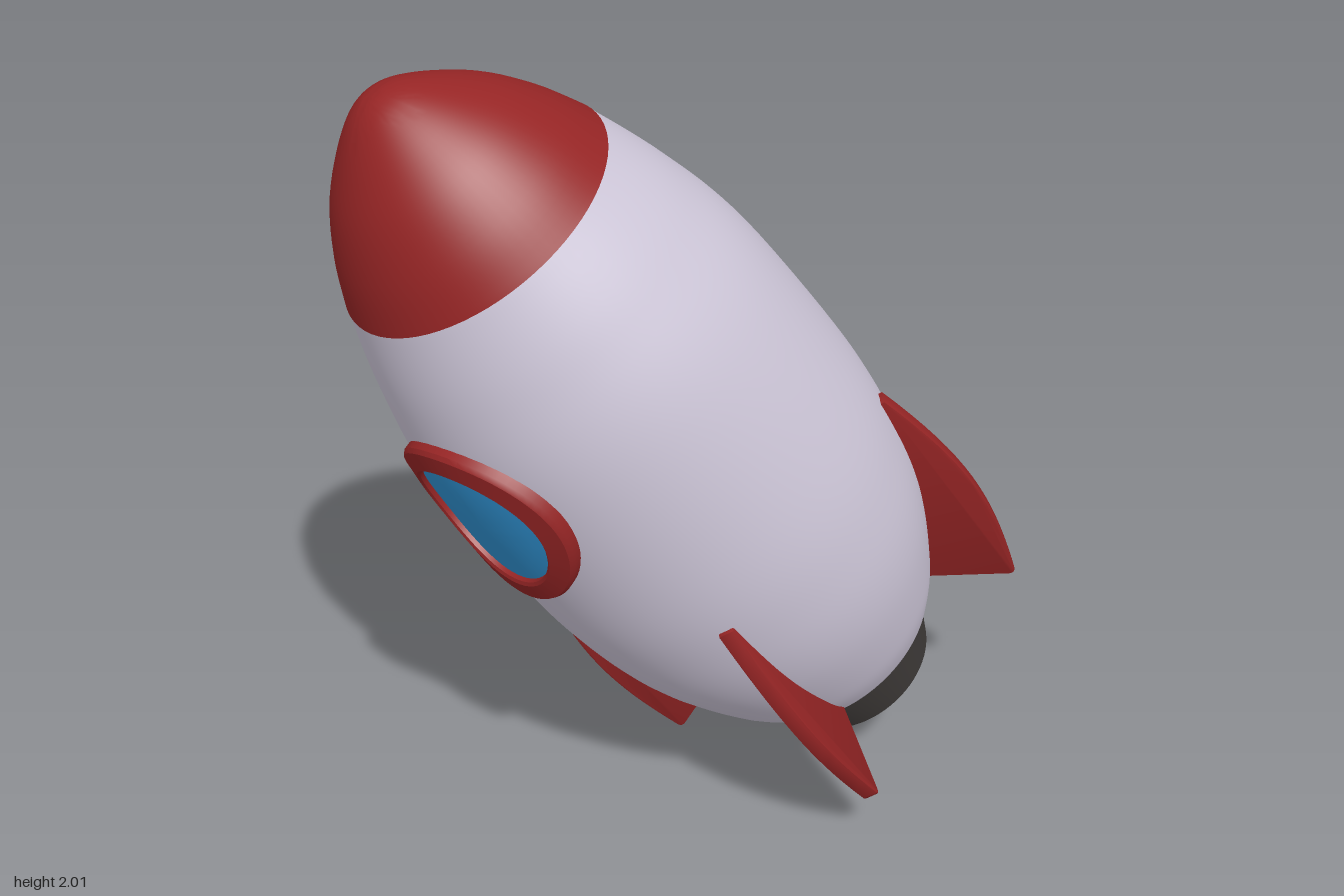
import * as THREE from 'three';
import { toCreasedNormals } from 'three/addons/utils/BufferGeometryUtils.js';

const paint = (name, color) => {
  const m = new THREE.MeshStandardMaterial({ color });
  m.name = name;
  return m;
};

const toPoints = (list) => list.map(([x, y]) => new THREE.Vector2(x, y));
const smooth = (list, n) => new THREE.SplineCurve(toPoints(list)).getPoints(n);

// Hull profile (radius, height), from the tail up to the nose joint at height 0
const hull = smooth([
  [0.303, -1.6], [0.36, -1.5], [0.436, -1.3], [0.475, -1.1], [0.488, -0.85],
  [0.465, -0.45], [0.41, -0.2], [0.343, 0],
], 48);

function hullRadius(y) {
  for (let i = 1; i < hull.length; i++) {
    const a = hull[i - 1], b = hull[i];
    if (y <= b.y) return a.x + (b.x - a.x) * (y - a.y) / (b.y - a.y);
  }
  return hull[hull.length - 1].x;
}

export function createModel() {
  const white = paint('hullWhite', 0xcfc8da);
  const red = paint('trimRed', 0x962525);
  const dark = paint('nozzleDark', 0x403c3a);
  const blue = paint('glassBlue', 0x3092d2);

  const model = new THREE.Group();
  const rocket = new THREE.Group();
  rocket.name = 'rocket';
  model.add(rocket);

  const add = (name, geometry, material) => {
    const mesh = new THREE.Mesh(geometry, material);
    mesh.name = name;
    rocket.add(mesh);
    return mesh;
  };
  const turn = (points, segments = 72) =>
    toCreasedNormals(new THREE.LatheGeometry(points, segments), 0.5);

  // Hull with a narrow lip around the nozzle
  add('hull', turn([new THREE.Vector2(0.25, -1.605), new THREE.Vector2(0.295, -1.605), ...hull]), white);

  // Rounded nose cone
  add('noseCone', turn(smooth([
    [0.345, 0], [0.297, 0.1], [0.232, 0.2], [0.157, 0.28], [0.085, 0.34], [0.035, 0.365], [0, 0.37],
  ], 28)), red);

  // Tapered nozzle with a recessed opening
  add('nozzle', turn(toPoints([
    [0, -1.71], [0.12, -1.71], [0.12, -1.79], [0.195, -1.79], [0.213, -1.78], [0.28, -1.6],
  ])), dark);

  // Porthole: turned profiles (radius, height above hull) bent to follow the hull
  const wrapOnHull = (profile) => {
    const g = new THREE.LatheGeometry(toPoints(profile), 64);
    const p = g.attributes.position;
    for (let i = 0; i < p.count; i++) {
      const x = p.getX(i), y = -0.51 - p.getZ(i);
      const r = hullRadius(y) + p.getY(i);
      p.setXYZ(i, x, y, Math.sqrt(r * r - x * x));
    }
    return toCreasedNormals(g, 0.6);
  };
  add('portholeFrame', wrapOnHull([
    [0.24, -0.02], [0.24, 0.018], [0.233, 0.026], [0.186, 0.026], [0.179, 0.02], [0.179, -0.01],
  ]), red);
  add('portholeGlass', wrapOnHull([
    [0.181, 0.009], [0.14, 0.009], [0.095, 0.009], [0.05, 0.009], [0, 0.009],
  ]), blue);

  // Four swept fins, set diagonally to the porthole
  const outline = new THREE.Shape();
  outline.moveTo(0.28, -1.57);
  outline.lineTo(0.49, -1.71);
  outline.quadraticCurveTo(0.507, -1.718, 0.511, -1.695);
  outline.bezierCurveTo(0.565, -1.46, 0.575, -1.3, 0.495, -0.99);
  outline.lineTo(0.44, -0.99);
  outline.lineTo(0.28, -1.45);
  const depth = 0.03;
  const finGeometry = toCreasedNormals(new THREE.ExtrudeGeometry(outline, {
    depth, curveSegments: 16, bevelEnabled: true, bevelSize: 0.005, bevelThickness: 0.005,
    bevelOffset: -0.005, bevelSegments: 2,
  }).translate(0, 0, -depth / 2), 0.6);
  for (let i = 0; i < 4; i++) {
    add('fin' + (i + 1), finGeometry, red).rotation.y = Math.PI / 4 + i * Math.PI / 2;
  }

  // Tilt the rocket: its axis leans up, right and forward, porthole facing front
  const axis = new THREE.Vector3(-0.36, 0.83, 0.425).normalize();
  const side = new THREE.Vector3().crossVectors(axis, new THREE.Vector3(-0.21, -0.52, 0.85)).normalize();
  const face = new THREE.Vector3().crossVectors(side, axis);
  rocket.quaternion.setFromRotationMatrix(new THREE.Matrix4().makeBasis(side, axis, face));
  rocket.position.set(-0.34, 1.68, 0.42);
  return model;
}
